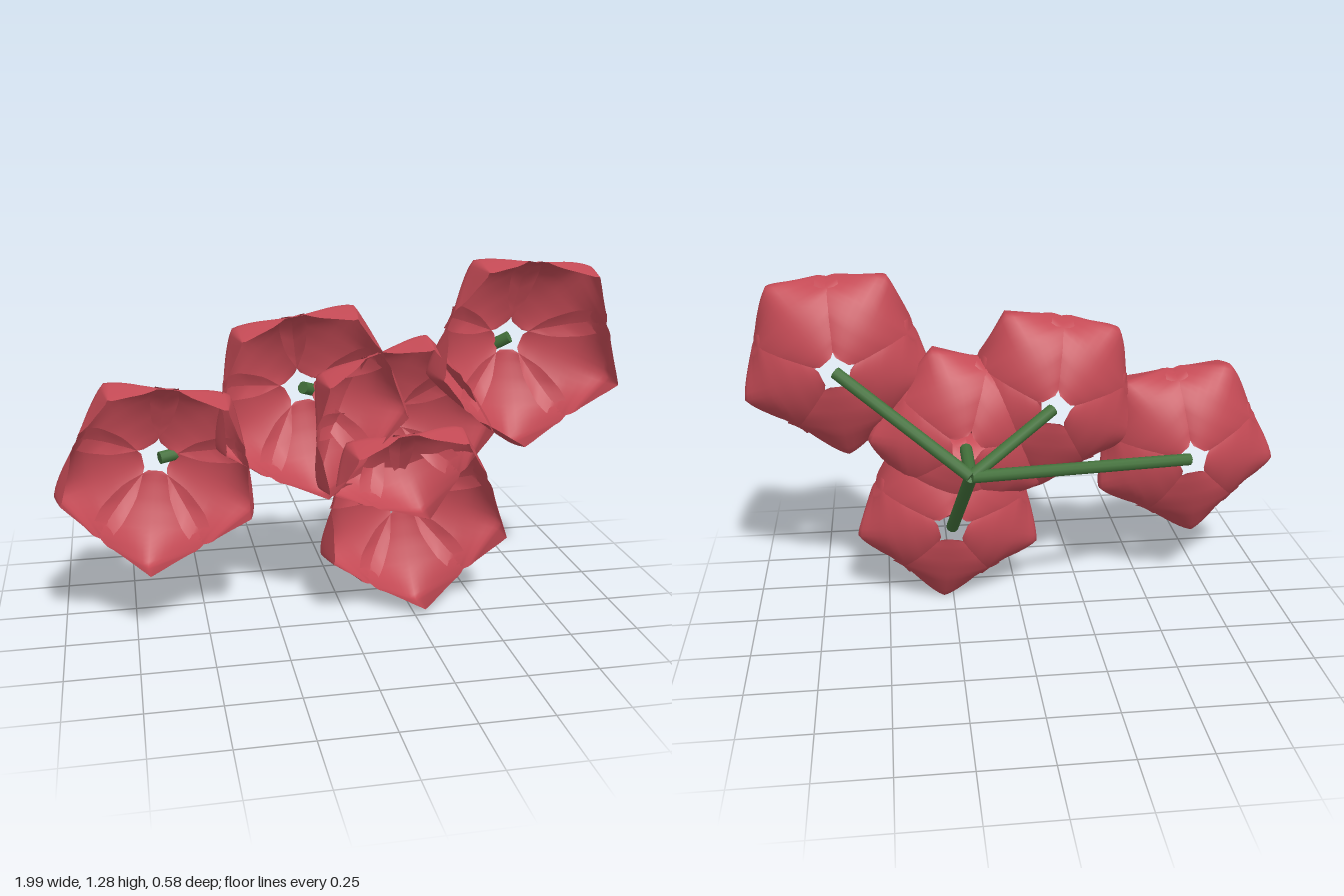
import * as THREE from 'three';

// Petal stations: x = distance from flower centre, y = half width, z = height
const stations = [
  [0.05, 0.025, -0.008], [0.1, 0.115, 0.002], [0.17, 0.183, 0.024], [0.25, 0.208, 0.06],
  [0.312, 0.19, 0.098], [0.362, 0.15, 0.136], [0.354, 0.085, 0.205], [0.337, 0.012, 0.28],
];

// Cupped petal with a keeled tip, pointing along +x and opening towards +z
function petalGeometry(rows = 21, cols = 14) {
  const points = stations.map(s => new THREE.Vector3(...s));
  const spine = new THREE.CatmullRomCurve3(points, false, 'catmullrom', 0.3);
  const pos = [], index = [];
  for (let i = 0; i <= rows; i++) {
    const t = i / rows, p = spine.getPoint(t);
    // The sides sweep back so five petals make a five-cornered rim
    const sweep = 0.72 * p.y * THREE.MathUtils.smoothstep(t, 0.25, 0.85);
    for (let j = 0; j <= cols; j++) {
      const v = (2 * j) / cols - 1;
      pos.push(
        p.x - sweep * Math.pow(Math.abs(v), 1.2),
        p.y * v,
        p.z + 0.085 * Math.sin(Math.PI * t) * v * v,
      );
      if (i < rows && j < cols) {
        const k = i * (cols + 1) + j, n = k + cols + 1;
        index.push(k, n, k + 1, n, n + 1, k + 1);
      }
    }
  }
  const g = new THREE.BufferGeometry();
  g.setAttribute('position', new THREE.Float32BufferAttribute(pos, 3));
  g.setIndex(index);
  g.computeVertexNormals();
  return g;
}

export function createModel() {
  const model = new THREE.Group();
  const petalRed = new THREE.MeshStandardMaterial({ color: 0xc44a55, side: THREE.DoubleSide });
  petalRed.name = 'petalRed';
  const stemGreen = new THREE.MeshStandardMaterial({ color: 0x42703a });
  stemGreen.name = 'stemGreen';

  const petal = petalGeometry();
  const root = new THREE.Vector3(0.2, 0.665, -0.275);
  // Flower centre, angle of its first petal in degrees, size
  const flowers = [
    [-0.65, 0.58, 0, -98, 1], [-0.125, 0.807, -0.025, -81, 1], [0.2, 0.675, -0.04, 72, 0.97],
    [0.65, 0.968, 0, -94, 1], [0.255, 0.36, -0.02, -85, 1],
  ];

  for (const [x, y, z, phase, size] of flowers) {
    // Five overlapping petals
    const flower = new THREE.Group();
    flower.name = 'flower';
    flower.position.set(x, y, z);
    flower.scale.setScalar(size);
    for (let i = 0; i < 5; i++) {
      const mesh = new THREE.Mesh(petal, petalRed);
      mesh.name = 'petal';
      mesh.rotation.z = THREE.MathUtils.degToRad(phase + 72 * i);
      flower.add(mesh);
    }
    model.add(flower);

    // Stem from the shared root to the flower centre
    const end = new THREE.Vector3(x + (x < 0 ? 0.01 : 0), y, z);
    const dir = end.clone().sub(root);
    const stem = new THREE.Mesh(new THREE.CylinderGeometry(0.023, 0.023, dir.length(), 10), stemGreen);
    stem.name = 'stem';
    stem.position.copy(root).addScaledVector(dir, 0.5);
    stem.quaternion.setFromUnitVectors(new THREE.Vector3(0, 1, 0), dir.normalize());
    model.add(stem);
  }
  return model;
}
